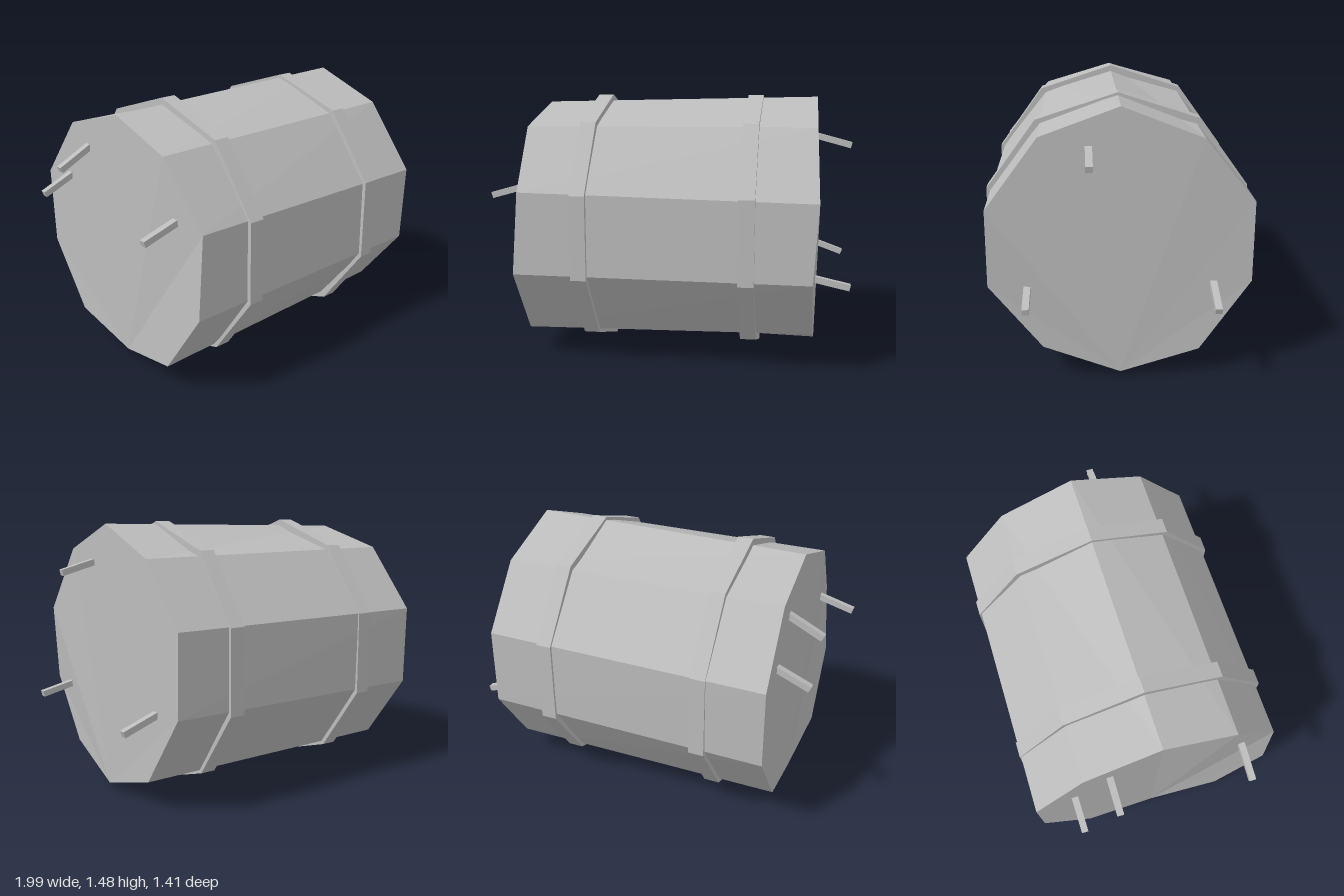
import * as THREE from 'three';

const straw = new THREE.MeshStandardMaterial({ color: 0xbcbcbc, flatShading: true });
straw.name = 'pale grey';

// Slightly uneven ten-sided end outlines, [x, y, z], from the top towards +z
const LEFT_END = [
  [-0.79, 1.44, 0], [-0.805, 1.315, 0.41], [-0.785, 0.98, 0.68], [-0.82, 0.53, 0.685], [-0.825, 0.15, 0.42],
  [-0.79, 0.055, 0], [-0.81, 0.16, -0.42], [-0.81, 0.53, -0.69], [-0.81, 0.97, -0.7], [-0.8, 1.32, -0.42],
];
const RIGHT_END = [
  [0.8, 1.475, 0], [0.8, 1.325, 0.41], [0.815, 0.955, 0.685], [0.79, 0.53, 0.69], [0.8, 0.18, 0.41],
  [0.815, 0.03, 0], [0.81, 0.155, -0.42], [0.795, 0.54, -0.69], [0.79, 0.975, -0.69], [0.8, 1.31, -0.42],
];

// Loft the two outlines and close both ends
function bodyGeometry() {
  const n = LEFT_END.length;
  const index = [];
  for (let i = 0; i < n; i++) {
    const j = (i + 1) % n;
    index.push(i, j, n + i, j, n + j, n + i);
  }
  // End caps fan out from the lowest corner
  for (let k = 1; k < n - 1; k++) {
    const a = (5 + k) % n, b = (6 + k) % n;
    index.push(n + 5, n + a, n + b, 5, b, a);
  }
  const indexed = new THREE.BufferGeometry();
  indexed.setAttribute('position', new THREE.Float32BufferAttribute([...LEFT_END, ...RIGHT_END].flat(), 3));
  indexed.setIndex(index);
  const geometry = indexed.toNonIndexed();
  geometry.computeVertexNormals();
  return geometry;
}

export function createModel() {
  const group = new THREE.Group();
  group.name = 'bale';

  const add = (geometry, name) => {
    const mesh = new THREE.Mesh(geometry, straw);
    mesh.name = name;
    group.add(mesh);
    return mesh;
  };

  add(bodyGeometry(), 'body');

  // Two straps around the body
  const strap = new THREE.CylinderGeometry(0.742, 0.742, 0.087, 10, 1, false, Math.PI / 10);
  strap.rotateZ(-Math.PI / 2);
  [-0.45, 0.445].forEach((x, i) => {
    add(strap, i ? 'rightStrap' : 'leftStrap').position.set(x, 0.742, 0);
  });

  // Loose stalks poking out of the ends: z, inner x and y, tip x and y
  const stalks = [
    [0.16, 0.76, 1.273, 0.99, 1.212],
    [0.485, 0.76, 0.527, 0.99, 0.477],
    [-0.487, 0.76, 0.542, 0.988, 0.46],
    [-0.28, -0.76, 1.225, -0.98, 1.115],
    [-0.48, -0.76, 1.015, -0.98, 0.922],
    [0.48, -0.76, 1.0, -0.995, 0.934],
  ];
  for (const [z, x0, y0, x1, y1] of stalks) {
    const length = Math.hypot(x1 - x0, y1 - y0);
    const stalk = add(new THREE.BoxGeometry(length, 0.034, 0.036), 'stalk');
    stalk.position.set((x0 + x1) / 2, (y0 + y1) / 2, z);
    stalk.rotation.z = Math.atan((y1 - y0) / (x1 - x0));
  }

  return group;
}
